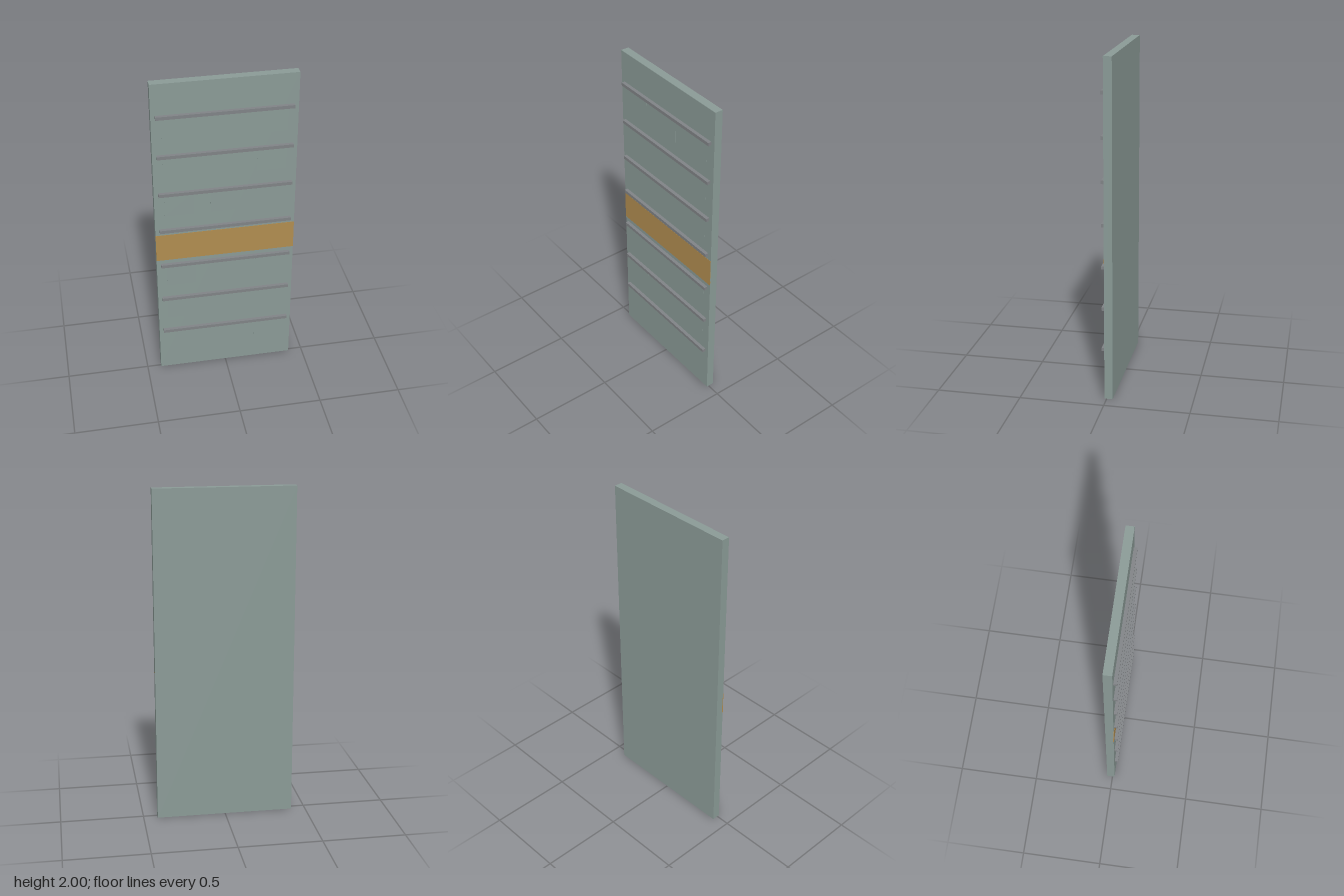
import * as THREE from 'three';

export function createModel() {
  const group = new THREE.Group();
  const slate = new THREE.MeshStandardMaterial({ color: 0x8a9a96 });
  const steel = new THREE.MeshStandardMaterial({ color: 0x808386 });
  const amber = new THREE.MeshStandardMaterial({ color: 0xb08c50 });

  // Box given by its centre in x and y, and its back and front in z
  function box(name, material, width, height, x, y, back, front) {
    const mesh = new THREE.Mesh(new THREE.BoxGeometry(width, height, front - back), material);
    mesh.position.set(x, y, (back + front) / 2);
    mesh.name = name;
    group.add(mesh);
  }

  const face = 0.0135;

  // Main slab and the coloured band across its front
  box('panel', slate, 0.83, 2, 0, 1, -0.035, face);
  box('band', amber, 0.83, 0.18, 0, 0.925, face - 0.005, face + 0.0015);

  // Evenly spaced horizontal ribs, with faint plates beneath them
  for (let i = 0; i < 7; i++) {
    const y = 0.3 + i * 0.25;
    box('rib', steel, 0.78, 0.02, 0, y, face, 0.034);
    if (i === 3) continue; // the band covers this row
    const columns = i === 0 ? [0.27] : [-0.27, 0, 0.27];
    for (const x of columns) box('plate', slate, 0.172, 0.145, x, y - 0.0825, face - 0.005, face + 0.0004);
  }
  return group;
}
